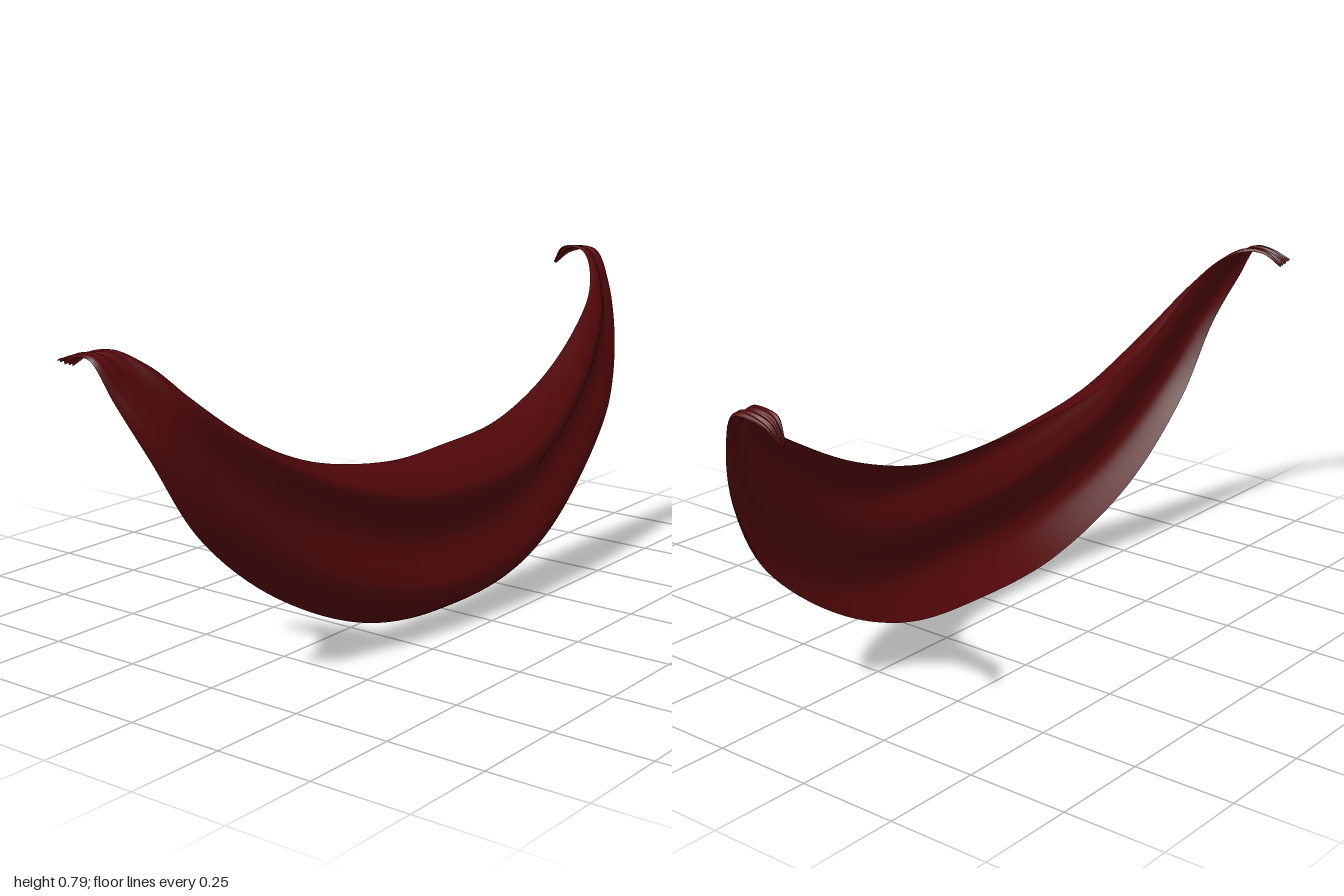
import * as THREE from 'three';

// Stations from the model's right end to its left end:
// upper hem x y z, lower hem x y z, fold depth, rise of the folds toward the upper hem
const stations = [
  [-0.948, 0.752, -0.190, -0.982, 0.768, -0.200, 0.004, 0.2],
  [-0.938, 0.783, -0.140, -0.990, 0.786, -0.130, 0.007, 0.3],
  [-0.908, 0.787, -0.090, -0.998, 0.782, -0.080, 0.009, 0.4],
  [-0.865, 0.755, -0.038, -0.978, 0.700, -0.040, 0.015, 0.5],
  [-0.800, 0.683, 0.008, -0.925, 0.570, 0.008, 0.030, 0.7],
  [-0.660, 0.575, 0.030, -0.800, 0.370, 0.024, 0.064, 0.9],
  [-0.450, 0.475, 0.050, -0.560, 0.170, 0.035, 0.092, 0.75],
  [-0.200, 0.428, 0.080, -0.270, 0.035, 0.070, 0.114, 0.35],
  [0.020, 0.425, 0.080, 0.020, 0.003, 0.095, 0.122, 0],
  [0.250, 0.440, 0.080, 0.300, 0.040, 0.080, 0.112, 0],
  [0.480, 0.510, 0.070, 0.570, 0.160, 0.066, 0.083, 0.1],
  [0.680, 0.610, 0.045, 0.790, 0.340, 0.062, 0.050, 0.2],
  [0.820, 0.695, 0.005, 0.900, 0.520, 0.032, 0.026, 0.2],
  [0.900, 0.768, -0.052, 0.957, 0.680, -0.015, 0.013, 0.2],
  [0.938, 0.790, -0.105, 0.996, 0.780, -0.085, 0.008, 0.1],
  [0.950, 0.785, -0.170, 0.992, 0.770, -0.165, 0.006, 0],
  [0.973, 0.737, -0.210, 0.984, 0.735, -0.210, 0.002, 0],
];

// Fold section: position from upper to lower hem, relative depth
const section = new THREE.SplineCurve([
  [0, 0], [0.10, 0.62], [0.19, 0.97], [0.27, 0.97], [0.36, 0.75], [0.46, 0.57],
  [0.56, 0.65], [0.67, 0.88], [0.77, 1], [0.88, 0.76], [1, 0],
].map(([a, d]) => new THREE.Vector2(a, d)));

const rail = (i) => new THREE.CatmullRomCurve3(
  stations.map((s) => new THREE.Vector3(s[i], s[i + 1], s[i + 2])));
const upperHem = rail(0);
const lowerHem = rail(3);
const foldRule = new THREE.SplineCurve(stations.map((s) => new THREE.Vector2(s[6], s[7])));

// A sheet draped between the two hems, pushed out along its normal into folds
function drapeGeometry(nu, nv) {
  const geo = new THREE.PlaneGeometry(1, 1, nu, nv);
  const pos = geo.attributes.position;
  const profile = section.getPoints(nv);
  for (let i = 0; i <= nu; i++) {
    const u = i / nu;
    const top = upperHem.getPoint(u);
    const bottom = lowerHem.getPoint(u);
    const along = upperHem.getTangent(u).add(lowerHem.getTangent(u));
    const out = bottom.clone().sub(top).cross(along).normalize();
    const { x: fold, y: rise } = foldRule.getPoint(u);
    // Fine gathers where the cloth is pinched at the ends
    const gather = 0.004 * Math.pow(Math.abs(2 * u - 1), 4);
    for (let j = 0; j <= nv; j++) {
      const { x, y: d } = profile[j];
      const v = x - rise * x * (1 - x) * (1 - x);
      const push = fold * d + gather * Math.sin(v * Math.PI * 7);
      const p = top.clone().lerp(bottom, v).addScaledVector(out, push);
      pos.setXYZ(j * (nu + 1) + i, p.x, p.y, p.z);
    }
  }
  geo.computeVertexNormals();
  return geo;
}

export function createModel() {
  const group = new THREE.Group();
  group.name = 'swagDrape';
  const cloth = new THREE.MeshStandardMaterial({ color: 0x520709, side: THREE.DoubleSide });
  cloth.name = 'darkRedCloth';
  const drape = new THREE.Mesh(drapeGeometry(128, 60), cloth);
  drape.name = 'drapedCloth';
  group.add(drape);
  return group;
}
